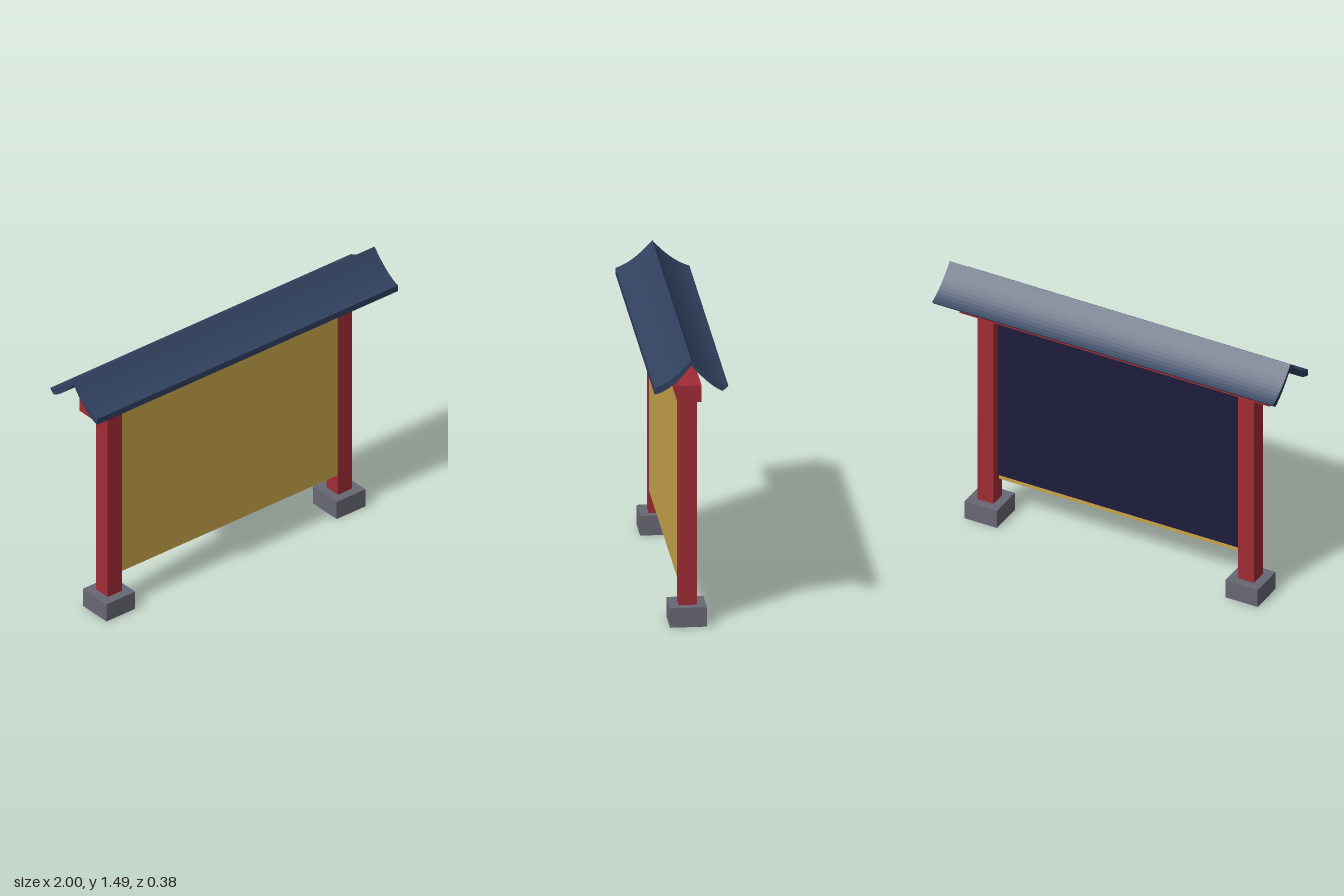
import * as THREE from 'three';

const material = (name, color) => {
  const m = new THREE.MeshStandardMaterial({ color });
  m.name = name;
  return m;
};

export function createModel() {
  const red = material('red lacquer', 0xa12c35);
  const stone = material('grey stone', 0x686874);
  const gold = material('gold board', 0xc9a44a);
  const navy = material('dark navy', 0x1e1c3c);
  const slate = material('blue roof', 0x30415f);

  const model = new THREE.Group();
  model.name = 'signboard';

  // Box from its centre x, vertical range and depth range
  const box = (name, mat, x, width, y0, y1, z0, z1) => {
    const mesh = new THREE.Mesh(new THREE.BoxGeometry(width, y1 - y0, z1 - z0), mat);
    mesh.position.set(x, (y0 + y1) / 2, (z0 + z1) / 2);
    mesh.name = name;
    model.add(mesh);
  };

  // Footings and posts on both sides
  for (const [side, s] of [['left', 1], ['right', -1]]) {
    box(`${side}Footing`, stone, s * 0.765, 0.19, 0, 0.105, -0.096, 0.096);
    box(`${side}Post`, red, s * 0.765, 0.094, 0.02, 1.24, -0.047, 0.047);
  }

  // Crossbeam, board and its dark backing
  box('crossbeam', red, 0, 1.82, 1.235, 1.325, -0.062, 0.062);
  box('board', gold, 0, 1.436, 0.225, 1.225, 0.015, 0.045);
  box('boardBacking', navy, 0, 1.436, 0.255, 1.2, 0.004, 0.016);

  // Curved gable roof: profile drawn in (z, y), extruded along x
  const profile = new THREE.Shape();
  profile.moveTo(0.19, 1.312);
  profile.lineTo(0.19, 1.347);
  profile.quadraticCurveTo(0.1, 1.375, 0, 1.49);
  profile.quadraticCurveTo(-0.1, 1.375, -0.192, 1.347);
  profile.lineTo(-0.163, 1.321);
  profile.quadraticCurveTo(-0.1, 1.345, 0, 1.463);
  profile.quadraticCurveTo(0.1, 1.33, 0.19, 1.312);
  const roofGeometry = new THREE.ExtrudeGeometry(profile, {
    depth: 2, steps: 1, curveSegments: 10, bevelEnabled: false,
  });
  roofGeometry.translate(0, 0, -1).rotateY(-Math.PI / 2);
  const roof = new THREE.Mesh(roofGeometry, slate);
  roof.name = 'roof';
  model.add(roof);

  return model;
}
